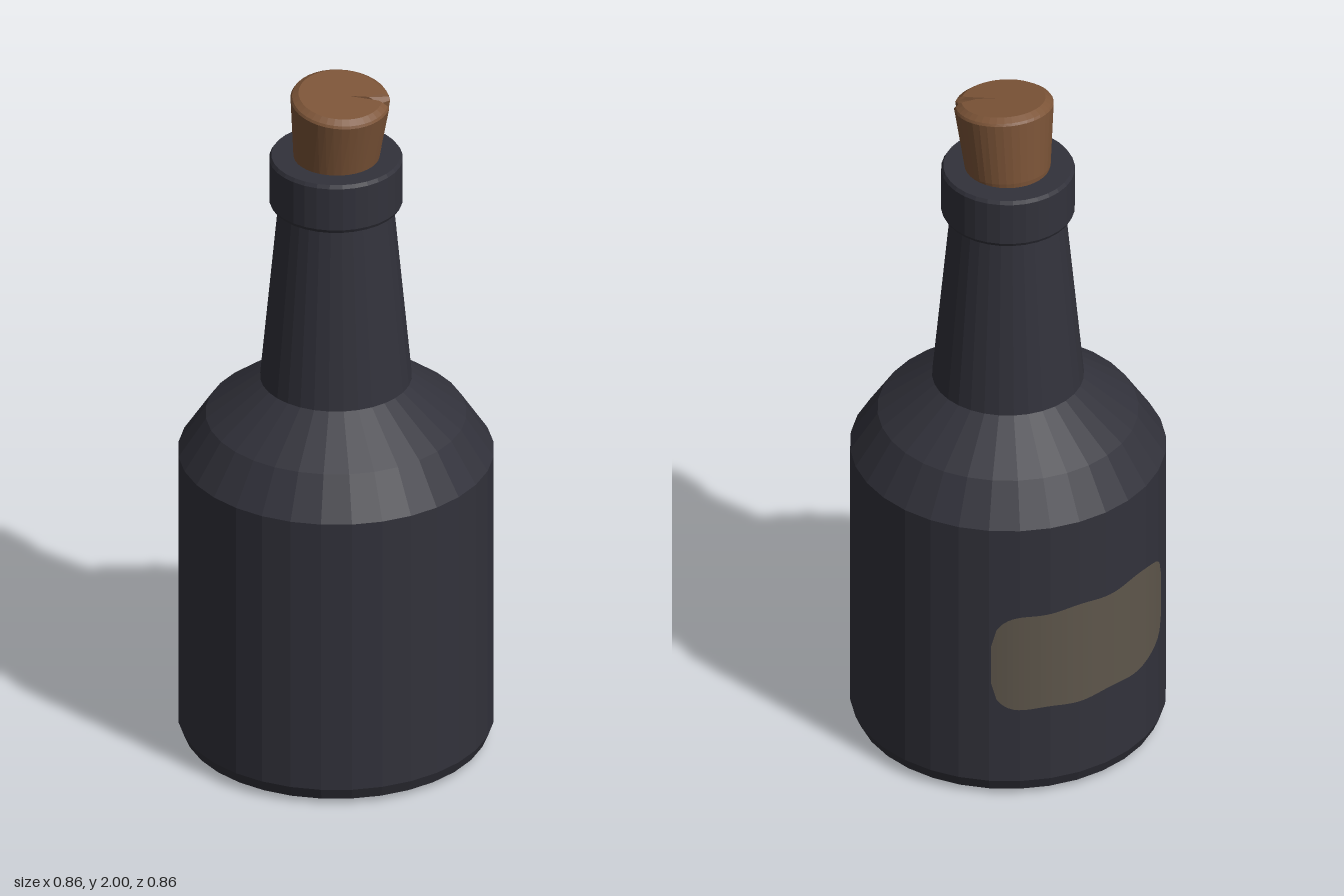
import * as THREE from 'three';

const DEG = Math.PI / 180;

function material(name, color) {
  const m = new THREE.MeshStandardMaterial({ color });
  m.name = name;
  m.flatShading = true;
  return m;
}

function facetedMesh(name, geometry, mat) {
  const g = geometry.index ? geometry.toNonIndexed() : geometry;
  g.computeVertexNormals();
  const mesh = new THREE.Mesh(g, mat);
  mesh.name = name;
  return mesh;
}

// Turned part from [radius, height] pairs, bottom to top
function turned(name, profile, mat) {
  const points = profile.map(([r, y]) => new THREE.Vector2(r, y));
  return facetedMesh(name, new THREE.LatheGeometry(points, 32, 3 * DEG), mat);
}

function indexedGeometry(positions, indices) {
  const g = new THREE.BufferGeometry();
  g.setAttribute('position', new THREE.Float32BufferAttribute(positions, 3));
  g.setIndex(indices);
  return g;
}

// Tapered stopper: rings with a split that widens toward the top
function corkGeometry() {
  // radius, height, split angle, split half width, split depth
  const rings = [
    [0.11, -0.03, 8, 3, 0.2],
    [0.117, 0, 8, 3, 0.2],
    [0.136, 0.185, 16, 8, 0.55],
    [0.132, 0.192, 17, 10, 0.8],
    [0.115, 0.203, 17, 10, 1],
  ];
  const sides = 36;
  const pos = [], idx = [];
  const add = (r, angle, y) => pos.push(r * Math.cos(angle * DEG), y, -r * Math.sin(angle * DEG));
  for (const [r, y, c, w, depth] of rings) {
    for (let i = 0; i <= sides; i++) add(r, c + w + (360 - 2 * w) * i / sides, y);
    // Inside of the split: thin deep crack beside a wider chip
    add(r * (1 - 0.1 * depth), c - 0.75 * w, y);
    add(r * (1 - 0.8 * depth), c - 0.6 * w, y);
    add(r * (1 - 0.35 * depth), c, y);
  }
  const n = sides + 4;
  for (let j = 0; j < rings.length - 1; j++) {
    for (let i = 0; i < n; i++) {
      const a = j * n + i, b = j * n + (i + 1) % n;
      idx.push(a, b, a + n, b, b + n, a + n);
    }
  }
  // Top face
  const top = (rings.length - 1) * n, centre = pos.length / 3;
  pos.push(0, rings[rings.length - 1][1], 0);
  for (let i = 0; i < n; i++) idx.push(centre, top + i, top + (i + 1) % n);
  return indexedGeometry(pos, idx);
}

// Worn paper patch wrapped around the back of the body
function labelGeometry() {
  const columns = 40, from = 15, to = 95, radius = 0.433;
  const pos = [], idx = [];
  for (let i = 0; i <= columns; i++) {
    const t = i / columns, s = 2 * t - 1;
    const round = Math.pow(1 - Math.pow(Math.abs(s), 7), 0.5);
    const middle = 0.445 + 0.012 * s;
    const half = 0.06 + 0.095 * round + 0.004 * Math.sin(t * 19);
    const angle = (from + (to - from) * t) * DEG;
    for (const y of [middle - half, middle + half]) {
      pos.push(-radius * Math.sin(angle), y, -radius * Math.cos(angle));
    }
    if (i < columns) {
      const a = 2 * i;
      idx.push(a, a + 2, a + 1, a + 2, a + 3, a + 1);
    }
  }
  return indexedGeometry(pos, idx);
}

export function createModel() {
  const glass = material('darkGlass', 0x32323b);
  const corkBrown = material('corkBrown', 0x7d5538);
  const paper = material('agedPaper', 0x5e564b);
  paper.side = THREE.DoubleSide;

  const bottle = new THREE.Group();
  bottle.name = 'bottle';

  // Glass body, neck and lip
  bottle.add(
    turned('body', [[0, 0], [0.385, 0], [0.415, 0.015], [0.43, 0.05], [0.43, 0.87],
      [0.355, 0.985], [0.205, 1.1]], glass),
    turned('neck', [[0.207, 1.095], [0.155, 1.65]], glass),
    turned('lip', [[0.15, 1.635], [0.177, 1.635], [0.182, 1.645], [0.182, 1.772],
      [0.176, 1.782], [0, 1.782]], glass),
  );

  // Cork pushed in at a slight tilt
  const cork = facetedMesh('cork', corkGeometry(), corkBrown);
  cork.position.set(0.001, 1.78, 0.001);
  cork.rotation.set(0.1, 0, -0.1);
  bottle.add(cork);

  bottle.add(facetedMesh('label', labelGeometry(), paper));
  return bottle;
}
